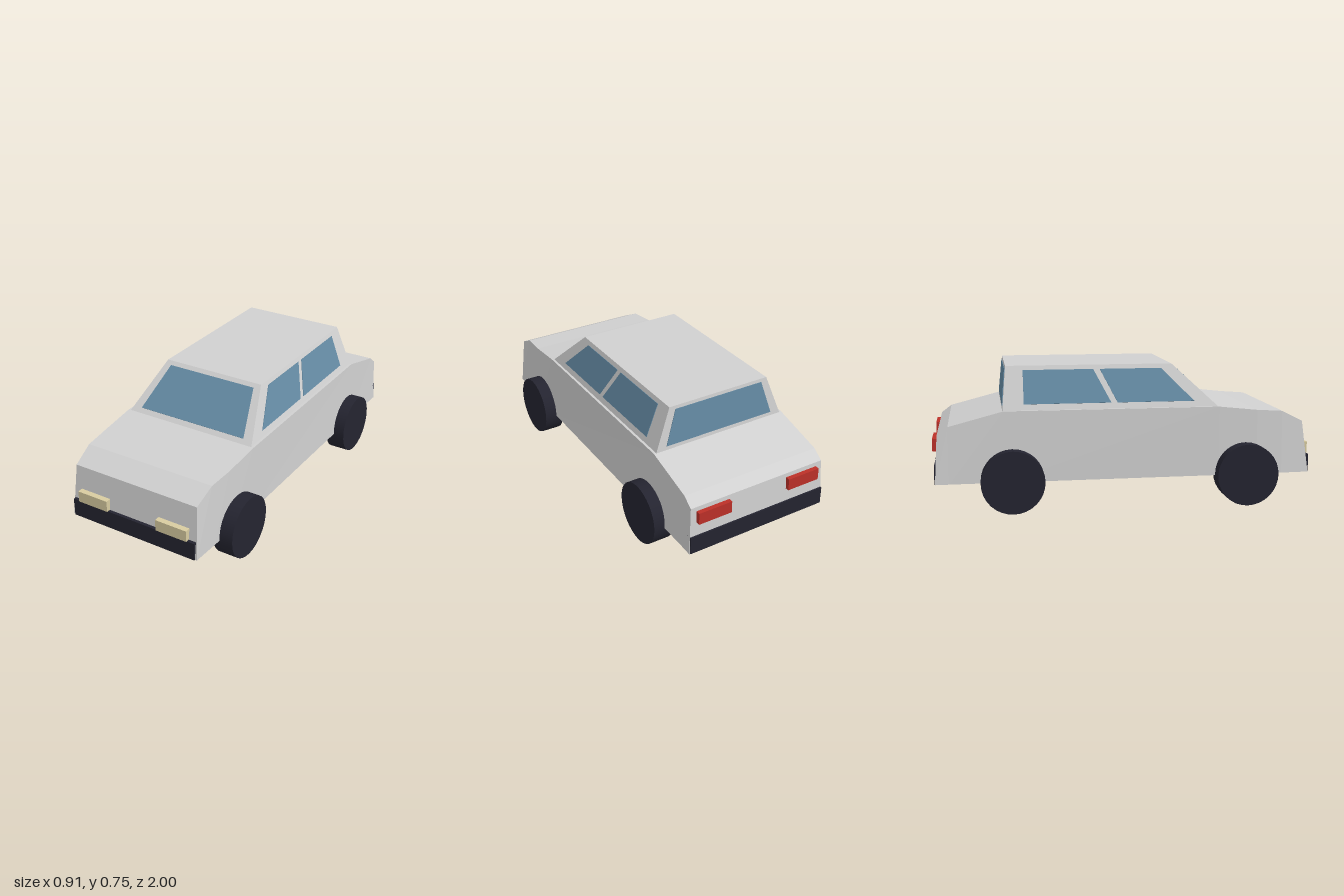
import * as THREE from 'three';

const mat = (name, color) => {
  const m = new THREE.MeshStandardMaterial({ color });
  m.name = name;
  return m;
};

// Closed solid through rings of points; each ring runs counter-clockwise seen from the first ring's side
function loft(rings) {
  const pos = [];
  const quad = (a, b, c, d) => pos.push(...a, ...b, ...c, ...a, ...c, ...d);
  for (let i = 0; i < rings.length - 1; i++) {
    const r = rings[i], s = rings[i + 1], n = r.length;
    for (let j = 0; j < n; j++) {
      const k = (j + 1) % n;
      quad(r[j], s[j], s[k], r[k]);
    }
  }
  quad(...rings[0]);
  quad(...[...rings[rings.length - 1]].reverse());
  const g = new THREE.BufferGeometry();
  g.setAttribute('position', new THREE.Float32BufferAttribute(pos, 3));
  g.computeVertexNormals();
  return g;
}

// Thin pane lying on a face, from four counter-clockwise corners
function pane(corners) {
  const p = corners.map(c => new THREE.Vector3(...c));
  const n = p[1].clone().sub(p[0]).cross(p[2].clone().sub(p[0])).normalize();
  const shift = d => p.map(v => v.clone().addScaledVector(n, d).toArray());
  return loft([shift(0.003), shift(-0.003)]);
}

export function createModel() {
  const car = new THREE.Group();
  car.name = 'car';
  const paint = mat('grey paint', 0xd0d0d0);
  const glass = mat('blue glass', 0x648aa3);
  const dark = mat('dark rubber', 0x242430);
  const lamp = mat('cream lamp', 0xd8cca0);
  const red = mat('red lamp', 0xbc3028);

  const add = (name, geometry, material, x = 0, y = 0, z = 0) => {
    const mesh = new THREE.Mesh(geometry, material);
    mesh.name = name;
    mesh.position.set(x, y, z);
    car.add(mesh);
    return mesh;
  };

  // Lower body: [top z, top y, top half width, bottom z, bottom half width]
  const floorY = 0.155;
  const stations = [
    [0.955, 0.432, 0.36, 0.99, 0.376],
    [0.84, 0.49, 0.37, 0.84, 0.382],
    [0.7, 0.5, 0.38, 0.7, 0.386],
    [0.49, 0.523, 0.386, 0.49, 0.388],
    [-0.64, 0.523, 0.386, -0.64, 0.395],
    [-0.92, 0.45, 0.388, -0.92, 0.398],
    [-0.975, 0.408, 0.388, -0.99, 0.4],
  ];
  add('body', loft(stations.map(([tz, ty, tw, bz, bw]) =>
    [[-bw, floorY, bz], [bw, floorY, bz], [tw, ty, tz], [-tw, ty, tz]])), paint);

  // Cabin tapering from the waistline to the roof
  const base = { y: 0.52, w: 0.374, front: 0.49, back: -0.643 };
  const roof = { y: 0.745, w: 0.288, front: 0.25, back: -0.622 };
  const ring = ({ y, w, front, back }) => [[-w, y, front], [w, y, front], [w, y, back], [-w, y, back]];
  add('cabin', loft([ring(roof), ring(base)]), paint);
  const at = (key, y) => THREE.MathUtils.mapLinear(y, base.y, roof.y, base[key], roof[key]);

  // Windscreen and rear window
  const low = 0.543, high = 0.727;
  const f0 = at('front', low), f1 = at('front', high);
  add('windscreen', pane([[-0.314, low, f0], [0.314, low, f0], [0.255, high, f1], [-0.255, high, f1]]), glass);
  const b0 = at('back', low), b1 = at('back', high);
  add('rearWindow', pane([[0.314, low, b0], [-0.314, low, b0], [-0.255, high, b1], [0.255, high, b1]]), glass);

  // Side windows as [z, y] corners, mirrored to both sides
  const sideWindows = {
    frontSideWindow: [[0.36, 0.553], [-0.047, 0.553], [-0.132, 0.722], [0.192, 0.722]],
    rearSideWindow: [[-0.08, 0.553], [-0.533, 0.553], [-0.533, 0.722], [-0.167, 0.722]],
  };
  for (const side of [1, -1]) {
    for (const [name, corners] of Object.entries(sideWindows)) {
      const pts = corners.map(([z, y]) => [side * at('w', y), y, z]);
      add(name, pane(side > 0 ? pts : pts.reverse()), glass);
    }

    // Wheels
    for (const [name, z] of [['frontWheel', 0.637], ['rearWheel', -0.597]]) {
      const wheel = new THREE.CylinderGeometry(0.164, 0.164, 0.11, 32).rotateZ(Math.PI / 2);
      add(name, wheel, dark, side * 0.4, 0.164, z);
    }

    // Lamps
    add('headlight', new THREE.BoxGeometry(0.178, 0.06, 0.04), lamp, side * 0.236, 0.28, 0.98);
    add('tailLight', new THREE.BoxGeometry(0.186, 0.064, 0.03), red, side * 0.263, 0.353, -0.985);
  }

  // Bumpers
  add('frontBumper', new THREE.BoxGeometry(0.73, 0.096, 0.03), dark, 0, 0.202, 0.98);
  add('rearBumper', new THREE.BoxGeometry(0.79, 0.094, 0.03), dark, 0, 0.203, -0.978);

  return car;
}
